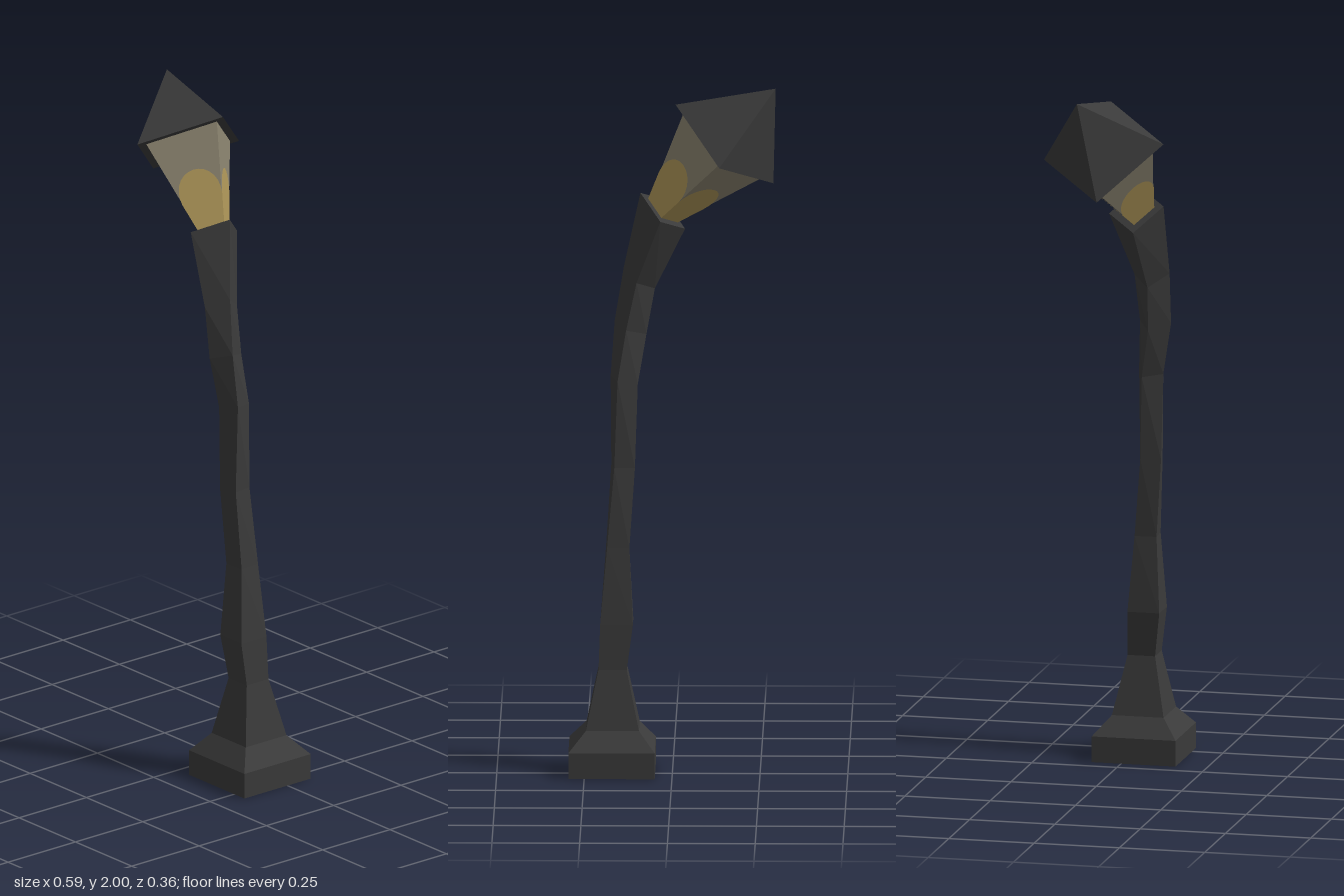
import * as THREE from 'three';

// Direction in which the lantern leans
const LEAN = new THREE.Vector3(-0.64, 0.744, -0.19).normalize();
const UP = new THREE.Vector3(0, 1, 0);
const NECK = new THREE.Vector3(0.028, 1.625, 0.05);

// Four corners of a square section: centre, half diagonal, twist in degrees, share of the full lean
function ring(x, y, z, r, twist, lean) {
  const q = new THREE.Quaternion().slerp(new THREE.Quaternion().setFromUnitVectors(UP, LEAN), lean);
  return [0, 1, 2, 3].map((k) => {
    const a = THREE.MathUtils.degToRad(twist + 90 * k);
    return new THREE.Vector3(Math.cos(a) * r, 0, Math.sin(a) * r).applyQuaternion(q).add(new THREE.Vector3(x, y, z));
  });
}

// Lantern section at a distance along the leaning axis
function lampRing(d, r) {
  const c = NECK.clone().addScaledVector(LEAN, d);
  return ring(c.x, c.y, c.z, r, 0, 1);
}

function triangles(points) {
  const g = new THREE.BufferGeometry().setFromPoints(points);
  g.computeVertexNormals();
  return g;
}

// Closed loft through square sections
function loft(rings) {
  const t = [];
  const b = rings[0], e = rings[rings.length - 1];
  t.push(b[0], b[1], b[2], b[0], b[2], b[3]);
  for (let i = 0; i < rings.length - 1; i++) {
    for (let k = 0; k < 4; k++) {
      const n = (k + 1) % 4, lo = rings[i], hi = rings[i + 1];
      t.push(lo[k], hi[k], hi[n], lo[k], hi[n], lo[n]);
    }
  }
  t.push(e[0], e[2], e[1], e[0], e[3], e[2]);
  return triangles(t);
}

// Round-topped patch of warm light on one pane
function glowPatch(lo, hi, k) {
  const n = (k + 1) % 4;
  const at = (s, t) => lo[k].clone().lerp(lo[n], s).lerp(hi[k].clone().lerp(hi[n], s), t);
  const outline = [at(0, 0)];
  for (let i = 0; i <= 14; i++) {
    const a = (Math.PI * i) / 14;
    const t = 0.3 + 0.31 * Math.sin(a);
    outline.push(at(0.5 - 0.5 * Math.cos(a) * (1 - 0.12 * Math.sin(a)), t));
  }
  outline.push(at(1, 0));
  const tris = [];
  for (let i = 0; i < outline.length - 1; i++) tris.push(at(0.5, 0), outline[i], outline[i + 1]);
  return triangles(tris);
}

export function createModel() {
  const make = (name, color) => {
    const m = new THREE.MeshStandardMaterial({ color, flatShading: true });
    m.name = name;
    return m;
  };
  const iron = make('dark iron', 0x3a3a3a);
  const glass = make('dusty glass', 0x89826e);
  const light = make('warm light', 0xae9658);

  const group = new THREE.Group();
  group.name = 'crookedStreetLamp';
  const add = (name, geometry, material) => {
    const mesh = new THREE.Mesh(geometry, material);
    mesh.name = name;
    group.add(mesh);
  };

  // Square plinth with a sloped shoulder
  add('base', loft([
    ring(0.172, 0, 0.037, 0.174, 45, 0),
    ring(0.172, 0.075, 0.037, 0.174, 45, 0),
    ring(0.17, 0.13, 0.038, 0.107, 45, 0),
  ]), iron);

  // Bent, slowly twisting post
  add('post', loft([
    ring(0.17, 0.13, 0.038, 0.107, 45, 0),
    ring(0.17, 0.3, 0.04, 0.057, 45, 0),
    ring(0.159, 0.43, 0.05, 0.066, 45, 0),
    ring(0.156, 0.65, 0.052, 0.045, 42, 0),
    ring(0.141, 0.88, 0.067, 0.042, 36, 0.05),
    ring(0.138, 1.13, 0.067, 0.044, 25, 0.3),
    ring(0.12, 1.28, 0.084, 0.05, 14, 0.5),
    ring(0.095, 1.425, 0.08, 0.054, 6, 0.85),
    lampRing(0, 0.083),
  ]), iron);

  // Flared lantern panes with light glowing near the bottom
  const roofStart = 0.276;
  add('lanternGlass', loft([lampRing(0, 0.052), lampRing(roofStart, 0.15)]), glass);
  const lo = lampRing(0.001, 0.055), hi = lampRing(roofStart, 0.153);
  for (let k = 0; k < 4; k++) add('lanternGlow' + (k + 1), glowPatch(lo, hi, k), light);

  // Pyramid roof
  add('lanternRoof', loft([lampRing(roofStart, 0.182), lampRing(0.504, 0.0005)]), iron);

  return group;
}
